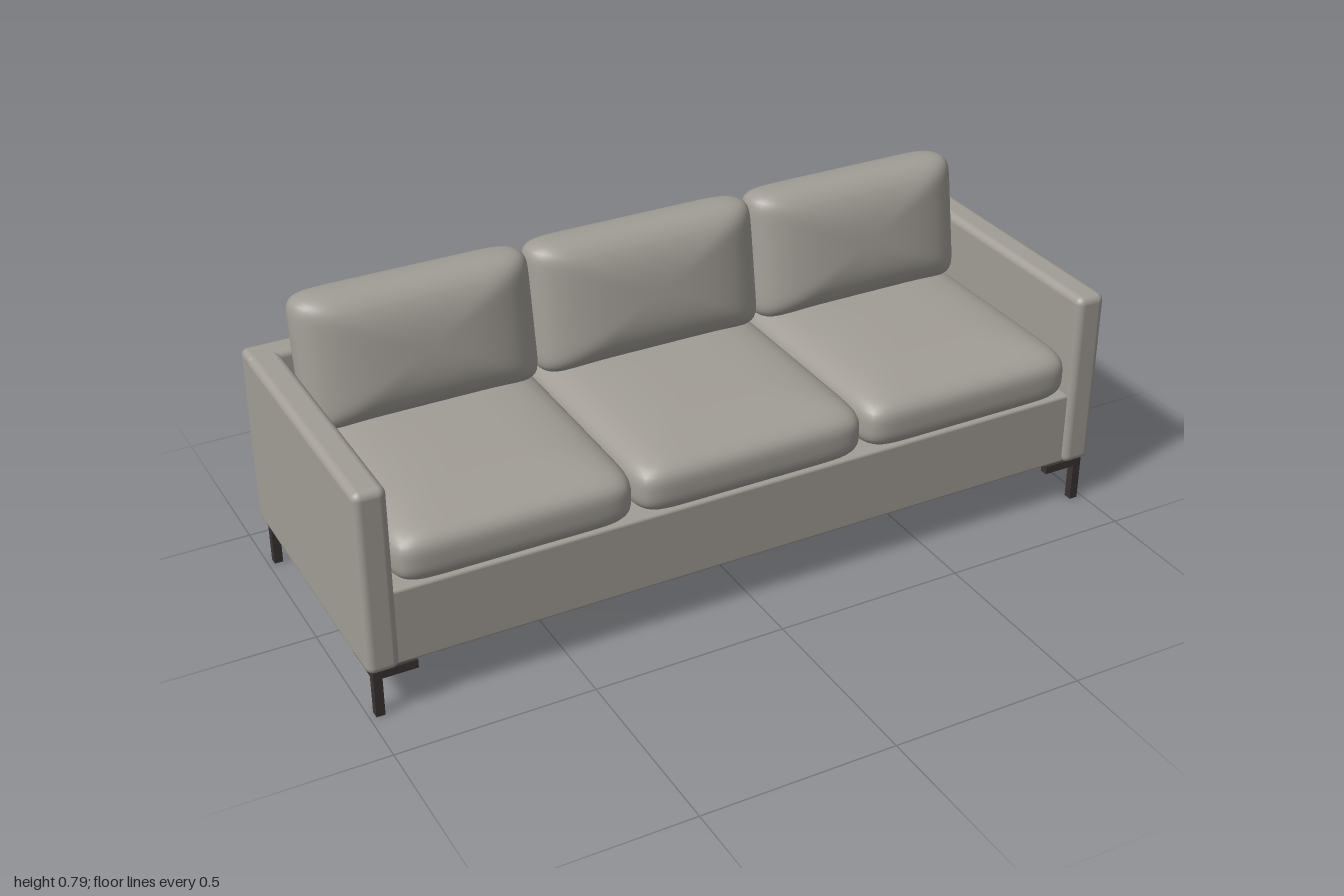
import * as THREE from 'three';
import { mergeVertices } from 'three/addons/utils/BufferGeometryUtils.js';
import { RoundedBoxGeometry } from 'three/addons/geometries/RoundedBoxGeometry.js';

const fabric = new THREE.MeshStandardMaterial({ color: 0xa19d96 });
fabric.name = 'warm grey fabric';
const metal = new THREE.MeshStandardMaterial({ color: 0x3a3332 });
metal.name = 'dark metal';

function add(parent, name, geometry, material, x = 0, y = 0, z = 0) {
  const mesh = new THREE.Mesh(geometry, material);
  mesh.name = name;
  mesh.position.set(x, y, z);
  parent.add(mesh);
  return mesh;
}

// Upholstered block given by its min and max corners
function block(parent, name, [x0, y0, z0], [x1, y1, z1], radius) {
  const g = new RoundedBoxGeometry(x1 - x0, y1 - y0, z1 - z0, 4, radius);
  return add(parent, name, g, fabric, (x0 + x1) / 2, (y0 + y1) / 2, (z0 + z1) / 2);
}

// Stuffed cushion: a squarish outline (power n) that swells through its thickness (power m)
function cushionGeometry(halfW, halfH, halfT, n, m) {
  let g = new THREE.BoxGeometry(2, 2, 2, 32, 32, 16);
  g.deleteAttribute('uv');
  g.deleteAttribute('normal');
  g = mergeVertices(g, 1e-4);
  const p = g.attributes.position;
  for (let i = 0; i < p.count; i++) {
    const a = p.getX(i), b = p.getY(i), c = p.getZ(i);
    const outline = (Math.abs(a) ** n + Math.abs(b) ** n) ** (m / n);
    const k = (outline + Math.abs(c) ** m) ** (-1 / m);
    p.setXYZ(i, a * k * halfW, b * k * halfH, c * k * halfT);
  }
  g.computeVertexNormals();
  return g;
}

export function createModel() {
  const sofa = new THREE.Group();
  sofa.name = 'sofa';

  // Frame
  block(sofa, 'back', [-1, 0.123, -0.387], [1, 0.604, -0.315], 0.016);
  block(sofa, 'base', [-0.93, 0.125, -0.34], [0.93, 0.325, 0.356], 0.008);
  for (const s of [-1, 1]) {
    const arm = block(sofa, s > 0 ? 'leftArm' : 'rightArm',
      [-0.04, 0.123, -0.36], [0.04, 0.604, 0.37], 0.02);
    arm.position.x = s * 0.96;
  }

  // Three seat cushions, each with a leaning back cushion
  const seams = [-0.92, -0.318, 0.302, 0.908];
  for (let i = 0; i < 3; i++) {
    const x = (seams[i] + seams[i + 1]) / 2;
    const half = (seams[i + 1] - seams[i]) / 2;
    const seat = add(sofa, 'seatCushion', cushionGeometry(half, 0.342, 0.087, 11, 3.6),
      fabric, x, 0.397, 0.044);
    seat.rotation.x = -Math.PI / 2;
    const back = add(sofa, 'backCushion', cushionGeometry(half, 0.172, 0.108, 11, 2.6),
      fabric, x, 0.618, -0.212);
    back.rotation.x = -0.16;
  }

  // Corner legs: a post under an L-shaped bracket
  for (const sx of [-1, 1]) {
    for (const sz of [-1, 1]) {
      const leg = new THREE.Group();
      leg.name = (sz > 0 ? 'front' : 'back') + (sx > 0 ? 'Left' : 'Right') + 'Leg';
      leg.position.set(sx * 0.974, 0, sz > 0 ? 0.346 : -0.356);
      add(leg, 'post', new THREE.BoxGeometry(0.022, 0.124, 0.022), metal, 0, 0.062, 0);
      add(leg, 'sideBracket', new THREE.BoxGeometry(0.022, 0.022, 0.128), metal,
        0, 0.113, -sz * 0.053);
      add(leg, 'crossBracket', new THREE.BoxGeometry(0.11, 0.022, 0.022), metal,
        -sx * 0.044, 0.113, 0);
      sofa.add(leg);
    }
  }
  return sofa;
}
